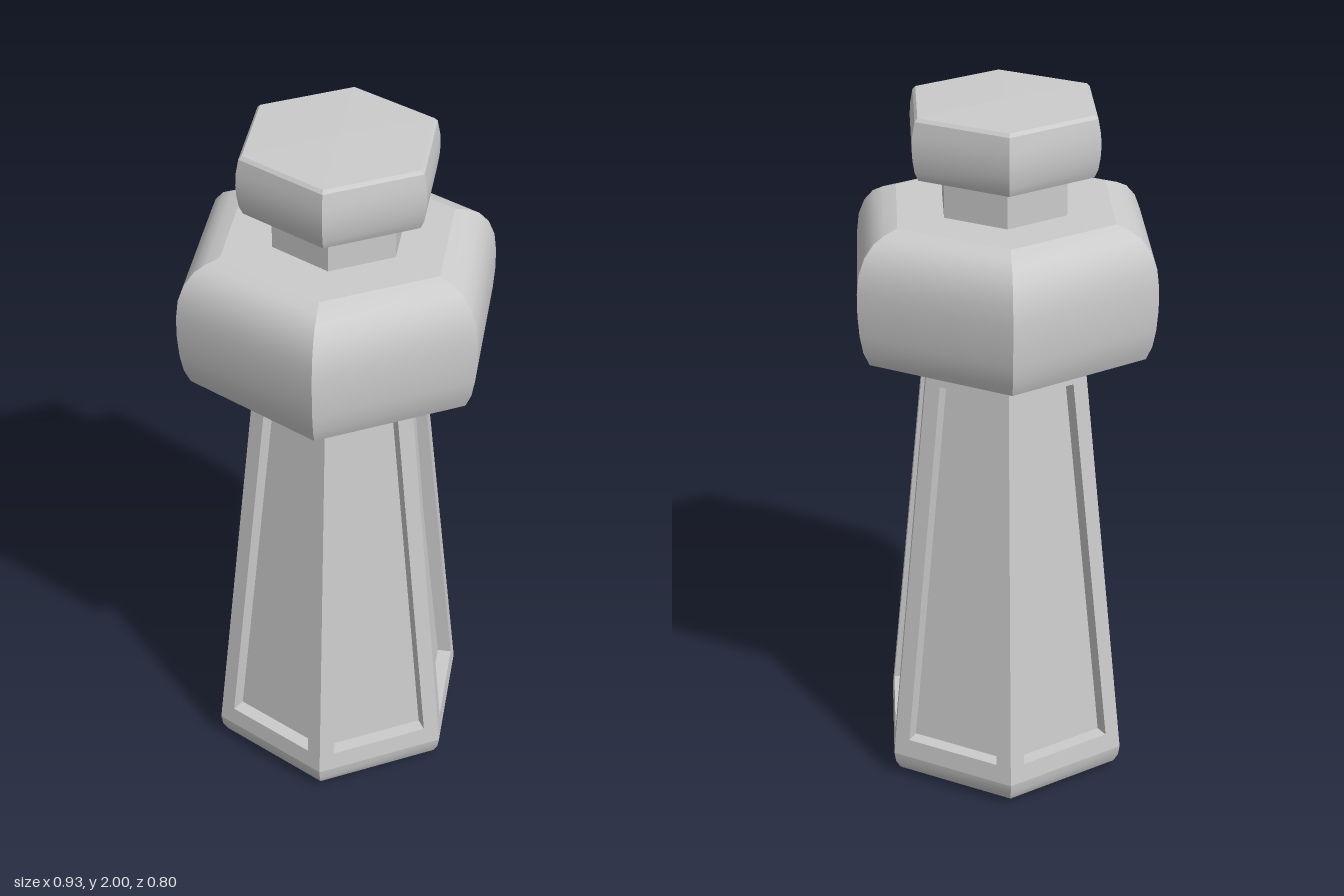
import * as THREE from 'three';
import { mergeGeometries } from 'three/addons/utils/BufferGeometryUtils.js';

const material = new THREE.MeshStandardMaterial({ color: 0xcccccc });
const APOTHEM = Math.sqrt(3) / 2;

function buildGeometry(positions, index) {
  const g = new THREE.BufferGeometry();
  g.setAttribute('position', new THREE.Float32BufferAttribute(positions, 3));
  g.setIndex(index);
  g.computeVertexNormals();
  return g;
}

// Repeats a front-facing side around the six sides of the hexagon
function sixSides(side) {
  const sides = [];
  for (let k = 0; k < 6; k++) sides.push(side.clone().rotateY((k * Math.PI) / 3));
  return mergeGeometries(sides);
}

// One side of a hexagonal turning: smooth along the [radius, y] profile, sharp at the corners
function hexStrip(profile) {
  const positions = [], index = [];
  profile.forEach(([r, y], i) => {
    positions.push(-r / 2, y, r * APOTHEM, r / 2, y, r * APOTHEM);
    if (i === 0) return;
    const a = 2 * i - 2;
    index.push(a, a + 1, a + 3, a, a + 3, a + 2);
  });
  return sixSides(buildGeometry(positions, index));
}

// Several profiles joined with a sharp crease between them
function hexPart(name, ...profiles) {
  const mesh = new THREE.Mesh(mergeGeometries(profiles.map(hexStrip)), material);
  mesh.name = name;
  return mesh;
}

// Tapered shaft whose six sides each carry a recessed panel
function panelledShaft() {
  const y0 = 0.075, y1 = 1.28, r0 = 0.381, r1 = 0.251;
  const margin = 0.045, depth = 0.04;
  const radius = (y) => r0 + ((r1 - r0) * (y - y0)) / (y1 - y0);
  const corners = (low, high, inset, back) =>
    [[-1, low], [1, low], [1, high], [-1, high]].map(([s, y]) => [
      s * (radius(y) / 2 - inset), y, radius(y) * APOTHEM - back,
    ]);
  const outer = corners(y0, y1, 0, 0);
  const opening = corners(0.13, 1.23, margin, 0);
  const floor = corners(0.13, 1.23, margin, depth);

  const positions = [], index = [];
  const quad = (...points) => {
    const n = positions.length / 3;
    points.forEach((p) => positions.push(...p));
    index.push(n, n + 1, n + 2, n, n + 2, n + 3);
  };
  for (let i = 0; i < 4; i++) {
    const j = (i + 1) % 4;
    quad(outer[i], outer[j], opening[j], opening[i]); // frame
    quad(opening[i], opening[j], floor[j], floor[i]); // recess wall
  }
  quad(...floor);

  const mesh = new THREE.Mesh(sixSides(buildGeometry(positions, index)), material);
  mesh.name = 'panelledShaft';
  return mesh;
}

export function createModel() {
  const model = new THREE.Group();
  model.name = 'hexagonalPiece';

  model.add(
    // Foot with a shallow underside and a rounded lower edge
    hexPart('foot',
      [[0, 0], [0.31, 0.004], [0.362, 0.02]],
      [[0.362, 0.02], [0.376, 0.045], [0.381, 0.075]]),
    panelledShaft(),
    // Wide collar: sloped underside, rounded side, flat top
    hexPart('collar',
      [[0.2, 1.28], [0.251, 1.28]],
      [[0.251, 1.28], [0.43, 1.33]],
      [[0.43, 1.33], [0.448, 1.37], [0.458, 1.42], [0.463, 1.48], [0.463, 1.54],
        [0.456, 1.595], [0.437, 1.64], [0.408, 1.673], [0.375, 1.69], [0.335, 1.702]],
      [[0.335, 1.702], [0.15, 1.702]]),
    hexPart('neck', [[0.19, 1.69], [0.19, 1.83]]),
    // Cap with softened edges and a slightly domed top
    hexPart('cap',
      [[0.15, 1.822], [0.268, 1.822]],
      [[0.268, 1.822], [0.279, 1.845], [0.285, 1.88], [0.287, 1.91], [0.285, 1.945], [0.277, 1.985]],
      [[0.277, 1.985], [0.268, 1.994]],
      [[0.268, 1.994], [0, 2]]),
  );
  return model;
}
